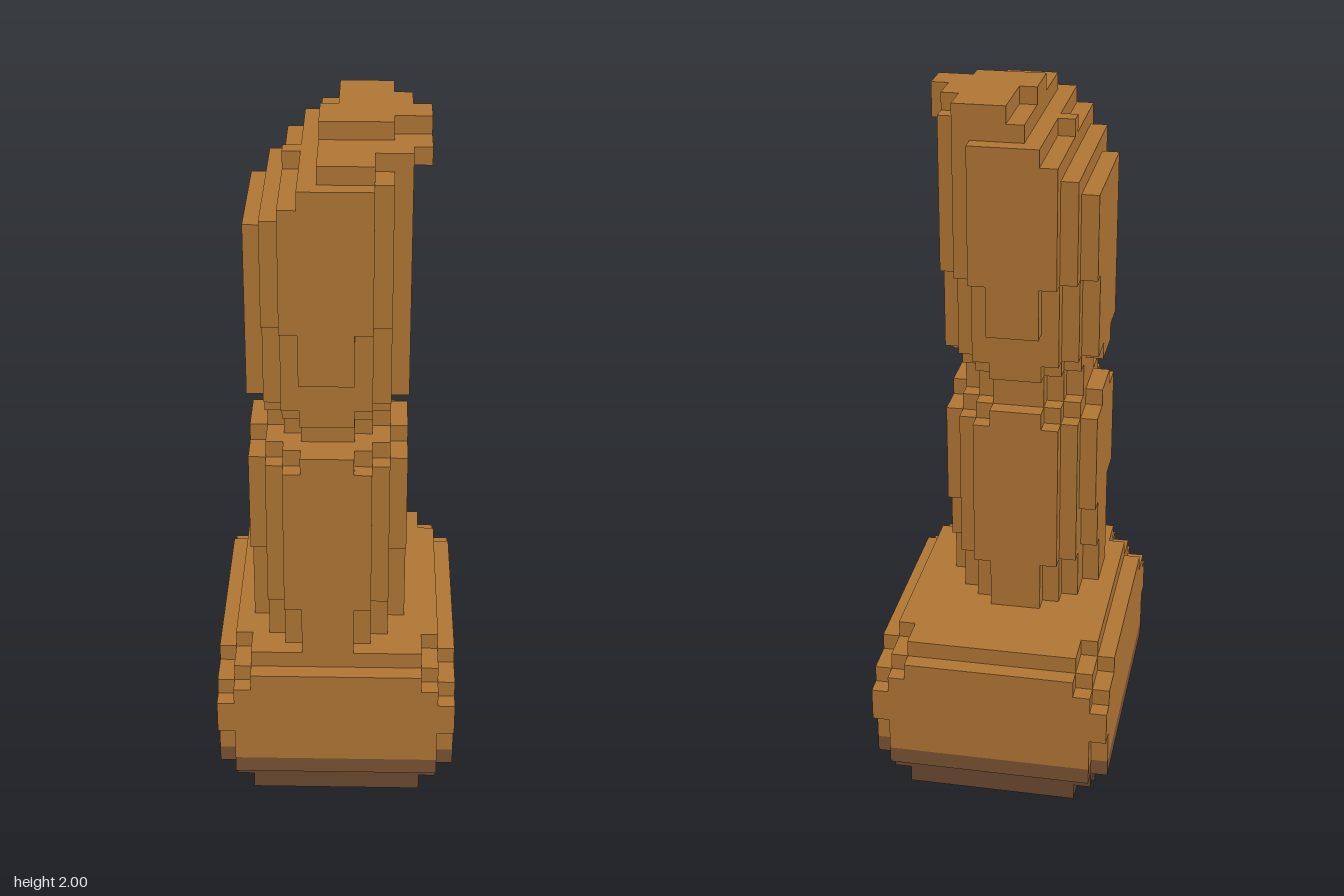
import * as THREE from 'three';
import { mergeGeometries } from 'three/addons/utils/BufferGeometryUtils.js';

const U = 2 / 41; // edge of one block

// A layer is a stack of strips [z0, z1, x0, x1] between two heights, in blocks.
function layer(y0, y1, strips, minX = -9) {
  return strips.map(([z0, z1, x0, x1]) => {
    const a = Math.max(x0, minX);
    const g = new THREE.BoxGeometry((x1 - a) * U, (y1 - y0) * U, (z1 - z0) * U);
    return g.translate((a + x1) / 2 * U, (y0 + y1) / 2 * U, (z0 + z1) / 2 * U);
  });
}

// Rectangle with corners stepped in: steps are [half depth, half width] from the widest out.
function stepped(steps) {
  const strips = [[-steps[0][0], steps[0][0], -steps[0][1], steps[0][1]]];
  for (let i = 1; i < steps.length; i++) {
    const [inner, [outer, w]] = [steps[i - 1][0], steps[i]];
    strips.push([inner, outer, -w, w], [-outer, -inner, -w, w]);
  }
  return strips;
}

export function createModel() {
  const group = new THREE.Group();
  const tan = new THREE.MeshStandardMaterial({ color: 0xb07634 });
  tan.name = 'tan';
  const brown = new THREE.MeshStandardMaterial({ color: 0x7a5333 });
  brown.name = 'brown';
  const darkBrown = new THREE.MeshStandardMaterial({ color: 0x6b4a30 });
  darkBrown.name = 'darkBrown';

  const add = (name, material, ...layers) => {
    const mesh = new THREE.Mesh(mergeGeometries(layers.flat()), material);
    mesh.name = name;
    group.add(mesh);
  };

  // Base: bevelled block with a dark foot
  const body = stepped([[8, 7], [9, 6]]);
  add('foot', darkBrown,
    layer(0, 1, stepped([[6, 6], [8, 5]])),
    layer(1, 2, stepped([[8, 6]])));
  add('footBand', brown, layer(2, 3, body));
  add('base', tan,
    layer(3, 5, body),
    layer(5, 7, stepped([[9, 7]])),
    layer(7, 8, body),
    layer(8, 9, stepped([[6, 7], [8, 6], [9, 5]])),
    layer(9, 10, stepped([[6, 6], [8, 5]])));

  // Rounded cross-sections of the column
  const slim = [[7, 8, -2, 1], [6, 7, -3, 2], [4, 6, -4, 3], [1, 4, -5, 4],
    [-1, 1, -4, 3], [-2, -1, -3, 2], [-3, -2, -2, 1]];
  const medium = [[7, 8, -3, 2], [6, 7, -4, 3], [4, 6, -4, 3], [0, 4, -5, 4],
    [-1, 0, -4, 3], [-2, -1, -4, 3], [-3, -2, -3, 2]];
  const full = [[7, 8, -3, 2], [6, 7, -4, 3], [-1, 6, -5, 4],
    [-2, -1, -4, 3], [-3, -2, -3, 2]];
  const neck = [[5, 6, -2, 1], [4, 5, -3, 2], [0, 4, -4, 3],
    [-1, 0, -3, 2], [-2, -1, -2, 1]];

  add('lowerColumn', tan, layer(10, 13, slim), layer(13, 16, medium),
    layer(16, 22, full), layer(22, 23, slim));
  add('neck', tan, layer(23, 25, neck));

  // Upper column, with thin front and back ridges and a slanted top
  const ridges = [[8, 9, -2, 1], [-4, -3, -2, 1]];
  const wide = [[8, 9, -3, 2], [6, 8, -4, 3], [-2, 6, -5, 4],
    [-3, -2, -4, 3], [-4, -3, -3, 2]];
  add('upperColumn', tan,
    layer(25, 26, slim),
    layer(26, 28, full),
    layer(28, 31, [...full, ...ridges]),
    layer(31, 35, wide));
  add('slantedTop', tan,
    layer(35, 36, wide, -5),
    layer(36, 37, wide, -4),
    layer(37, 38, wide, -3),
    layer(38, 39, wide, -2),
    layer(38, 39, [[2, 3, -3, -2]]));
  add('tip', tan,
    layer(39, 40, [[6, 8, -1, 2], [5, 6, -1, 4], [1, 5, -1, 5], [-2, 1, -1, 4], [-3, -2, -1, 3]]),
    layer(40, 41, [[3, 4, -1, 3], [1, 3, -1, 5], [-1, 1, 0, 4], [-3, -1, 0, 3]]));
  return group;
}
